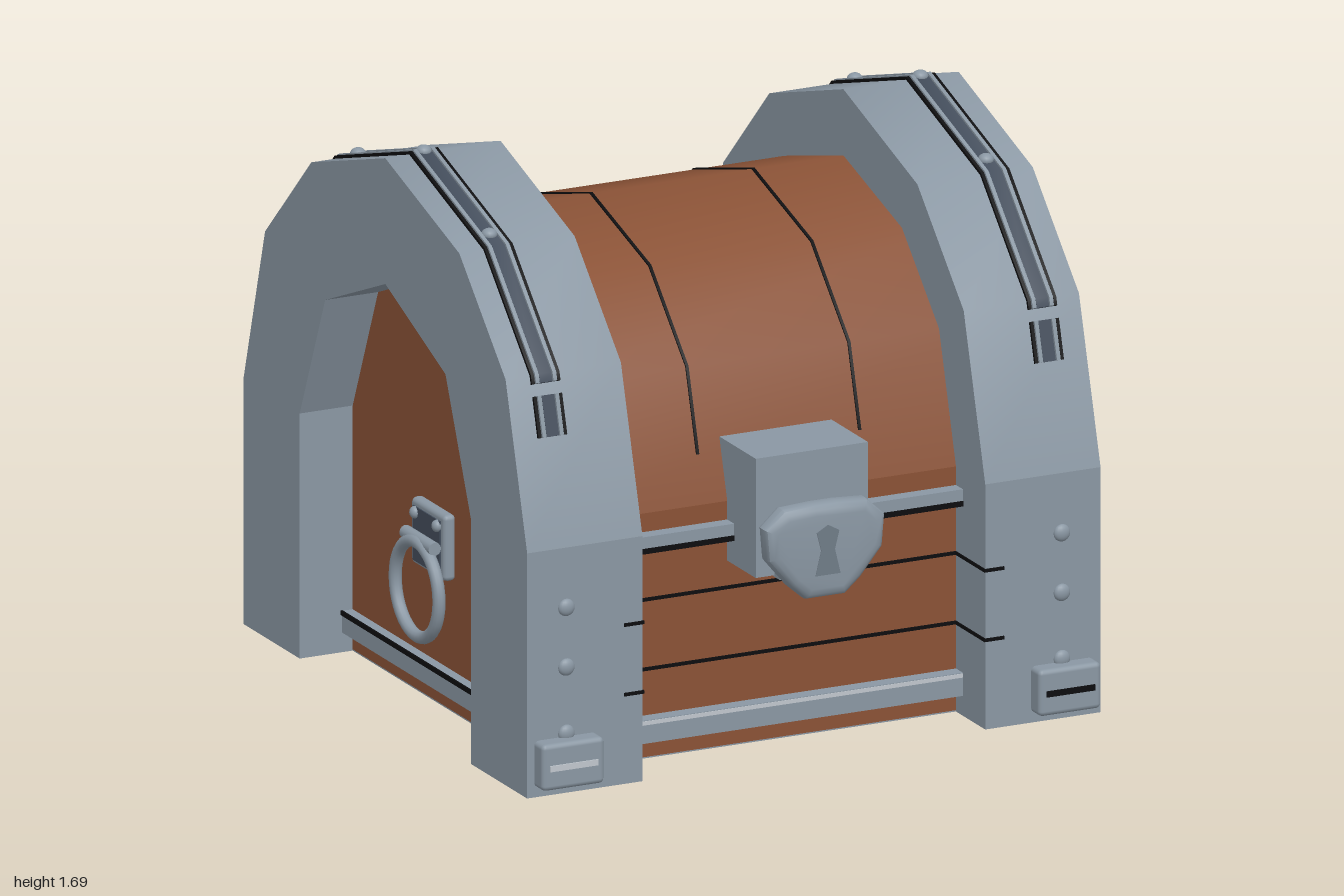
import * as THREE from 'three';
import { toCreasedNormals } from 'three/addons/utils/BufferGeometryUtils.js';
import { RoundedBoxGeometry } from 'three/addons/geometries/RoundedBoxGeometry.js';

const paint = (name, color) => {
  const m = new THREE.MeshStandardMaterial({ color });
  m.name = name;
  return m;
};

export function createModel() {
  const steel = paint('steel', 0x8a97a3);
  const wood = paint('wood', 0x8a5236);
  const black = paint('black', 0x0c0c0e);
  const darkSteel = paint('darkSteel', 0x434d5b);
  const midSteel = paint('midSteel', 0x707c87);
  const paleSteel = paint('paleSteel', 0xc0c7ce);

  const model = new THREE.Group();
  const chest = new THREE.Group();
  chest.name = 'chest';
  chest.position.z = -0.02;
  model.add(chest);

  const add = (name, geo, mat, x = 0, y = 0, z = 0, parent = chest) => {
    const mesh = new THREE.Mesh(geo, mat);
    mesh.name = name;
    mesh.position.set(x, y, z);
    parent.add(mesh);
    return mesh;
  };
  const box = (name, mat, w, h, d, x, y, z, parent) =>
    add(name, new THREE.BoxGeometry(w, h, d), mat, x, y, z, parent);

  // Profiles are [z, height above the seam], front half only, then mirrored
  const SEAM = 0.74;
  const full = half => [...half, ...half.filter(p => p[0] > 0).reverse().map(([z, h]) => [-z, h])];
  const archOuter = [[0.92, 0], [0.78, 0.485], [0.48, 0.78], [0, 0.93]];
  const archInner = [[0.555, 0], [0.39, 0.39], [0, 0.55]];
  const lidHalf = [[0.73, 0], [0.62, 0.385], [0.38, 0.62], [0, 0.73]];

  // Extrudes a profile along x, smooth over the shallow bends
  const extrudeX = (name, mat, pts, x, width) => {
    const shape = new THREE.Shape(pts.map(([z, h]) => new THREE.Vector2(-z, h + SEAM)));
    const geo = new THREE.ExtrudeGeometry(shape, { depth: width, bevelEnabled: false });
    geo.rotateY(Math.PI / 2);
    return add(name, toCreasedNormals(geo, 0.68), mat, x - width / 2);
  };
  // Thin strip hugging a profile
  const strip = (name, mat, path, x, width, lift = 0.012) => {
    const scale = (k) => path.map(([z, h]) => [z * k, h * k]);
    extrudeX(name, mat, [...scale(1 + lift), ...scale(0.995).reverse()], x, width);
  };
  // Point on the first facet of a profile at a given height
  const onFacet = (half, h) => [half[0][0] + (half[1][0] - half[0][0]) * h / half[1][1], h];

  // Wooden body, lid and steel floor
  box('woodBody', wood, 1.5, SEAM - 0.004, 1.46, 0, SEAM / 2 + 0.002, 0);
  box('floorPlate', steel, 1.5, 0.004, 1.46, 0, 0.002, 0);
  extrudeX('woodLid', wood, full(lidHalf), 0, 1.5);
  for (const x of [-0.26, 0.26])
    strip('lidPlankSeam', black, full([onFacet(lidHalf, 0.14), ...lidHalf.slice(1)]), x, 0.009, 0.006);

  const rivet = new THREE.SphereGeometry(0.026, 16, 12);
  const bandUpper = full([onFacet(archOuter, 0.46), ...archOuter.slice(1)]);
  const bandLower = [onFacet(archOuter, 0.31), onFacet(archOuter, 0.425)];
  const bandBack = bandLower.map(([z, h]) => [-z, h]);

  for (const sx of [-1, 1]) {
    // End arches with inlaid bands and rivets
    extrudeX('endArch', steel, [...full(archOuter), ...full(archInner).reverse()], sx * 0.735, 0.37);
    for (const path of [bandUpper, bandLower, bandBack]) {
      strip('archBand', darkSteel, path, sx * 0.797, 0.04, 0.01);
      for (const o of [-1, 1]) {
        strip('bandEdge', steel, path, sx * 0.797 + o * 0.028, 0.012, 0.014);
        strip('bandGroove', black, path, sx * 0.797 + o * 0.041, 0.01, 0.01);
      }
    }
    for (const [z, h] of [[0.425, 0.805], [0, 0.935], [-0.425, 0.805]])
      add('archRivet', rivet, steel, sx * 0.797, SEAM + h, z).scale.set(0.9, 0.7, 0.9);

    // Corner posts with rivets and foot plates
    for (const sz of [-1, 1]) {
      box('cornerPost', steel, 0.37, SEAM, 0.365, sx * 0.735, SEAM / 2, sz * 0.7375);
      for (const y of [0.56, 0.38, 0.18])
        add('postRivet', rivet, steel, sx * 0.795, y, sz * 0.921).scale.z = 0.6;
      add('footPlate', new RoundedBoxGeometry(0.2, 0.14, 0.08, 2, 0.015), steel,
        sx * 0.797, 0.1, sz * 0.935);
      box('footPlateSlot', sx * sz > 0 ? black : paleSteel, 0.155, 0.018, 0.006,
        sx * 0.797, 0.098, sz * 0.976);
    }

    // Lower end rail
    box('endRail', steel, 0.04, 0.065, 1.11, sx * 0.765, 0.0925, 0);
    box('endRailGroove', black, 0.006, 0.014, 1.11, sx * 0.786, 0.12, 0);

    // Ring handle
    const handle = new THREE.Group();
    handle.name = 'ringHandle';
    handle.position.x = sx * 0.75;
    handle.rotation.y = sx * Math.PI / 2;
    chest.add(handle);
    add('handlePlate', new RoundedBoxGeometry(0.22, 0.2, 0.04, 2, 0.015), steel, 0, 0.5, 0.015, handle);
    box('handlePlateInset', darkSteel, 0.175, 0.165, 0.006, 0, 0.497, 0.036, handle);
    for (const o of [-0.072, 0.072])
      add('handleRivet', rivet, steel, o, 0.562, 0.04, handle).scale.set(0.7, 0.7, 0.6);
    add('handleBarrel', new THREE.CylinderGeometry(0.02, 0.02, 0.19, 14), steel, 0, 0.5, 0.058, handle)
      .rotation.z = Math.PI / 2;
    add('handleRing', new THREE.TorusGeometry(0.142, 0.019, 12, 40), steel, 0, 0.355, 0.068, handle);

    // Rear hinges
    add('hingeBarrel', new THREE.CylinderGeometry(0.028, 0.028, 0.11, 14), steel, sx * 0.445, 0.7, -0.76)
      .rotation.z = Math.PI / 2;
    box('hingePlate', steel, 0.08, 0.16, 0.05, sx * 0.445, 0.6, -0.75);
  }

  // Front and back rails and plank seams wrapping onto the posts
  for (const sz of [-1, 1]) {
    box('upperRail', steel, 1.1, 0.048, 0.05, 0, 0.66, sz * 0.75);
    box('upperRailGroove', black, 1.1, 0.016, 0.05, 0, 0.641, sz * 0.753);
    box('lowerRail', steel, 1.1, 0.07, 0.05, 0, 0.095, sz * 0.75);
    box('lowerRailHighlight', paleSteel, 1.1, 0.012, 0.006, 0, 0.122, sz * 0.774);
    for (const y of [0.27, 0.48]) {
      box('plankSeam', black, 1.1, 0.01, 0.008, 0, y, sz * 0.731);
      for (const sx of [-1, 1]) {
        box('seamPostSide', black, 0.006, 0.01, 0.19, sx * 0.549, y, sz * 0.828);
        box('seamPostFace', black, 0.064, 0.01, 0.006, sx * 0.578, y, sz * 0.921);
      }
    }
  }

  // Lock: block, neck, bevelled shield and keyhole
  const lock = new THREE.Group();
  lock.name = 'lock';
  lock.position.z = 0.02;
  chest.add(lock);
  box('lockBlock', steel, 0.36, 0.36, 0.24, -0.004, 0.74, 0.775, lock);
  box('lockNeck', steel, 0.24, 0.2, 0.04, -0.004, 0.655, 0.91, lock);
  const outline = half => new THREE.Shape(
    [...half, ...half.slice().reverse().map(([x, y]) => [-x, y])].map(p => new THREE.Vector2(...p)));
  const shield = new THREE.ExtrudeGeometry(
    outline([[0.035, 0.755], [0.12, 0.75], [0.158, 0.715], [0.152, 0.645], [0.09, 0.57], [0.05, 0.535]]),
    { depth: 0.025, bevelEnabled: true, bevelThickness: 0.027, bevelSize: 0.032, bevelSegments: 3 });
  add('lockShield', toCreasedNormals(shield, 0.7), steel, -0.004, 0, 0.947, lock);
  const keyhole = new THREE.ExtrudeGeometry(
    outline([[0.001, 0.725], [0.036, 0.705], [0.022, 0.65], [0.04, 0.575]]),
    { depth: 0.004, bevelEnabled: false });
  add('keyhole', keyhole, midSteel, -0.004, 0, 0.997, lock);

  return model;
}
